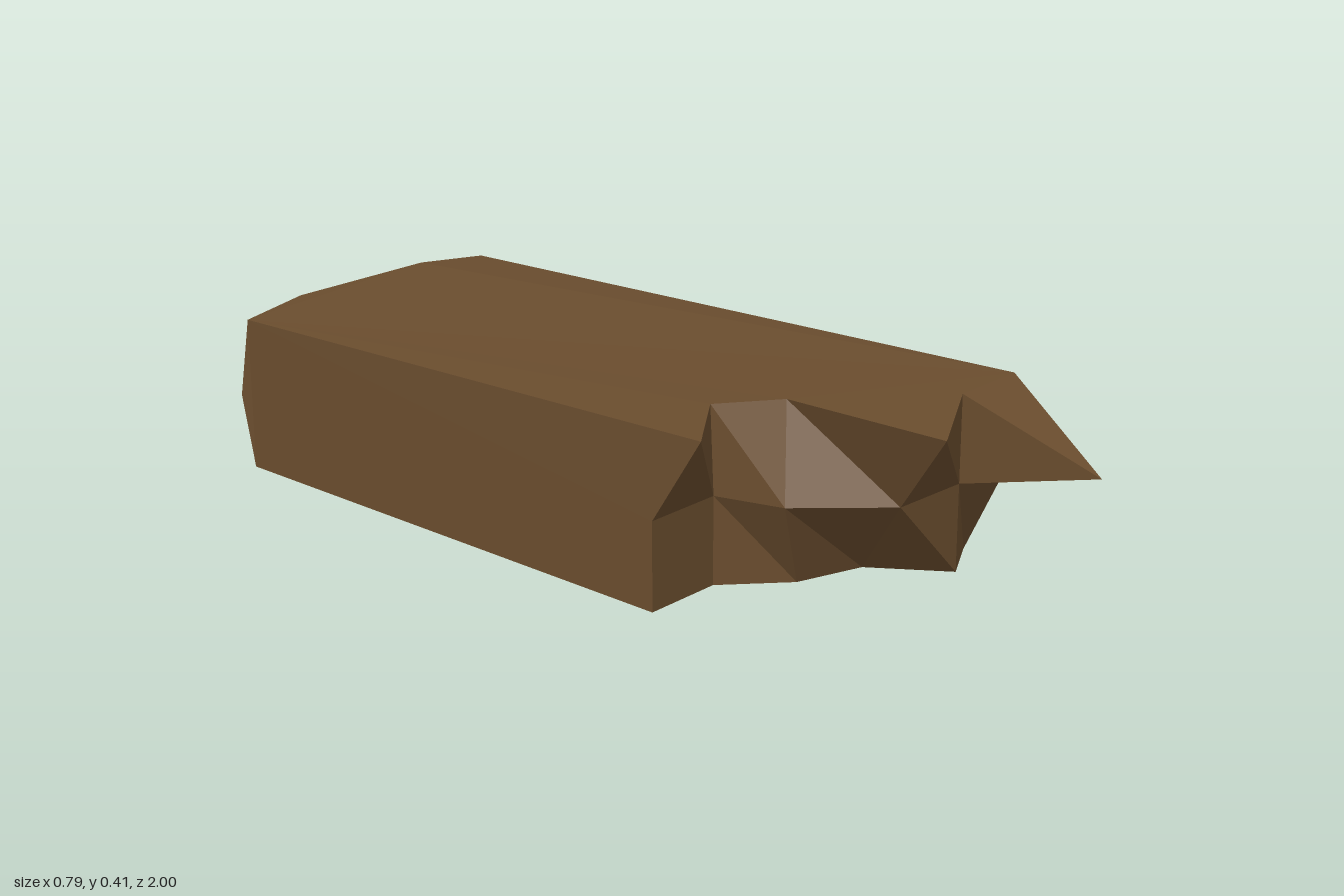
import * as THREE from 'three';

const P = (x, y, z) => new THREE.Vector3(x, y, z);
const H = 0.405, MID = 0.203, W = 0.397;

// Flat-faced geometry from a list of corner triples
function facets(tris) {
  const g = new THREE.BufferGeometry().setFromPoints(tris.flat());
  g.computeVertexNormals();
  return g;
}

// Triangles filling a (possibly concave) outline, turned towards the outward direction
function fill(outline, flatten, outward) {
  const flat = outline.map((p) => new THREE.Vector2(...flatten(p)));
  return THREE.ShapeUtils.triangulateShape(flat, []).map((ids) => {
    const [a, b, c] = ids.map((i) => outline[i]);
    const n = b.clone().sub(a).cross(c.clone().sub(a));
    return n.dot(outward) < 0 ? [a, c, b] : [a, b, c];
  });
}

// Triangles between an upper and a lower chain of points, facing the viewer's side
function strip(upper, lower, from, to) {
  const tris = [];
  for (let i = from; i < to; i++) {
    tris.push([upper[i], lower[i], lower[i + 1]], [upper[i], lower[i + 1], upper[i + 1]]);
  }
  return tris;
}

export function createModel() {
  const group = new THREE.Group();
  const wood = new THREE.MeshStandardMaterial({ color: 0x6a4d2e });
  const add = (name, tris) => {
    const mesh = new THREE.Mesh(facets(tris), wood);
    mesh.name = name;
    group.add(mesh);
  };

  // Jagged front edge at three heights, from -x to +x
  const chain = (y, pts) => pts.map(([x, z]) => P(x, y, z));
  const top = chain(H, [[-W, 0.42], [-0.2, 0.28], [-0.07, 0.38], [-0.075, 0.79], [0.2, 0.64], [W, 0.64]]);
  const mid = chain(MID, [[-W, 0.29], [-0.2, 0.29], [-0.16, 0.45], [0, 0.63], [0.2, 0.64], [W, 0.64]]);
  const low = chain(0, [[-W, 0.29], [-0.2, 0.29], [-0.07, 0.415], [0.09, 0.47], [0.2, 0.64], [0.325, 0.575]]);

  // Sawn back end with slightly worn corners, from +x to -x
  const backRow = (edgeY, cornerY) => [
    P(0.387, cornerY, -0.975), P(0.2, edgeY, -1), P(-0.2, edgeY, -1), P(-0.387, cornerY, -0.975),
  ];
  const backTop = backRow(H, 0.39);
  const backMid = [W, 0.2, -0.2, -W].map((x) => P(x, MID, -1));
  const backLow = backRow(0, 0.025);
  add('sawnEnd', [...strip(backTop, backMid, 0, 3), ...strip(backMid, backLow, 0, 3)]);

  // Broad faces
  const fromAbove = (p) => [p.x, p.z];
  add('topFace', fill([...top, ...backTop], fromAbove, P(0, 1, 0)));
  const chipBottom = P(W, 0, 0.29), chipTop = P(W, MID, 0.29);
  add('bottomFace', fill([...low, chipBottom, ...backLow], fromAbove, P(0, -1, 0)));

  // Long sides
  const fromSide = (p) => [p.z, p.y];
  add('leftSide', fill(
    [top[5], mid[5], chipTop, chipBottom, backLow[0], backMid[0], backTop[0]], fromSide, P(1, 0, 0)));
  add('rightSide', fill(
    [top[0], mid[0], low[0], backLow[3], backMid[3], backTop[3]], fromSide, P(-1, 0, 0)));

  // Chipped lower corner beside the break
  add('chippedCorner', fill([chipTop, mid[5], low[5], chipBottom], fromSide, P(1, 0, 0)));

  // Broken end and its long splinter
  add('brokenEnd', [...strip(top, mid, 0, 4), ...strip(mid, low, 0, 5)]);
  const tip = P(0.178, 0.304, 1);
  const base = [top[4], mid[4], mid[5], top[5]];
  add('splinter', base.map((p, i) => [p, base[(i + 1) % 4], tip]));

  return group;
}
